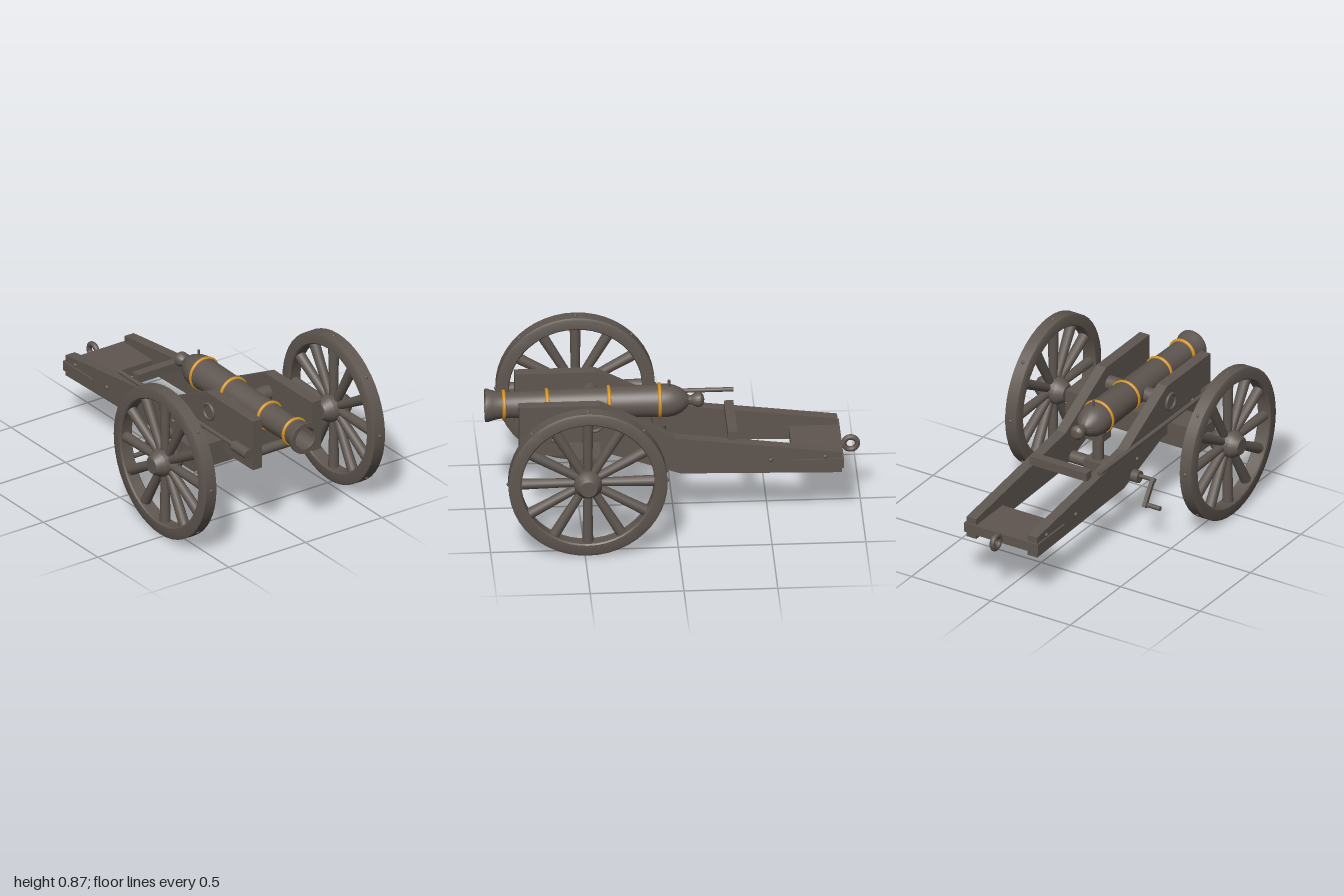
import * as THREE from 'three';
import { toCreasedNormals } from 'three/addons/utils/BufferGeometryUtils.js';

const iron = new THREE.MeshStandardMaterial({ color: 0x5f5650 });
iron.name = 'dark weathered wood and iron';
const brass = new THREE.MeshStandardMaterial({ color: 0xd0901f });
brass.name = 'brass';

function add(parent, name, geometry, x, y, z, material = iron) {
  const mesh = new THREE.Mesh(geometry, material);
  mesh.name = name;
  mesh.position.set(x, y, z);
  parent.add(mesh);
  return mesh;
}

const box = (w, h, d) => new THREE.BoxGeometry(w, h, d);
const rodX = (r, length, sides = 24) => new THREE.CylinderGeometry(r, r, length, sides).rotateZ(Math.PI / 2);
const rodZ = (r, length, sides = 24) => new THREE.CylinderGeometry(r, r, length, sides).rotateX(Math.PI / 2);
const lathe = (points, sides = 40) =>
  toCreasedNormals(new THREE.LatheGeometry(points.map(([r, h]) => new THREE.Vector2(r, h)), sides), 0.6);

// Spoked wheel turning about the x axis
function makeWheel() {
  const wheel = new THREE.Group();
  const rim = lathe([[0.355, -0.033], [0.362, -0.04], [0.412, -0.04], [0.424, -0.034], [0.424, 0.034],
    [0.412, 0.04], [0.362, 0.04], [0.355, 0.033], [0.355, -0.033]], 48).rotateZ(Math.PI / 2);
  add(wheel, 'rim', rim, 0, 0, 0);
  const hub = lathe([[0, -0.09], [0.045, -0.09], [0.053, -0.08], [0.075, -0.045], [0.075, 0.045],
    [0.053, 0.08], [0.045, 0.09], [0, 0.09]], 24).rotateZ(Math.PI / 2);
  add(wheel, 'hub', hub, 0, 0, 0);
  for (let i = 0; i < 12; i++) {
    const spoke = new THREE.CylinderGeometry(0.03, 0.023, 0.32, 12).translate(0, 0.21, 0);
    add(wheel, 'spoke', spoke.rotateX(i * Math.PI / 6), 0, 0, 0);
  }
  for (let i = 0; i < 8; i++) {
    const a = i * Math.PI / 4;
    add(wheel, 'tyreRivet', new THREE.SphereGeometry(0.01, 10, 8), 0, 0.423 * Math.cos(a), 0.423 * Math.sin(a));
  }
  return wheel;
}

// Side cheek running back into the trail, drawn as z against y
function cheekGeometry() {
  const outline = [[0.83, 0.43], [0.83, 0.72], [0.4, 0.72], [0, 0.51], [-0.89, 0.4],
    [-0.89, 0.28], [-0.03, 0.3], [0.35, 0.43]];
  const shape = new THREE.Shape(outline.map(([z, y]) => new THREE.Vector2(z, y)));
  return new THREE.ExtrudeGeometry(shape, { depth: 0.06, bevelEnabled: false })
    .translate(0, 0, -0.03).rotateY(-Math.PI / 2);
}

function makeBarrel() {
  const barrel = new THREE.Group();
  barrel.name = 'barrel';
  const profile = [[0, -0.17], [0.025, -0.165], [0.039, -0.15], [0.041, -0.135], [0.035, -0.115], [0.024, -0.1],
    [0.027, -0.085], [0.045, -0.07], [0.066, -0.045], [0.082, -0.01], [0.09, 0.03], [0.09, 0.075],
    [0.086, 0.1], [0.084, 0.33], [0.08, 0.35], [0.076, 0.66], [0.073, 0.68], [0.07, 0.89],
    [0.074, 0.93], [0.082, 0.965], [0.089, 0.985], [0.089, 1], [0.064, 1], [0.06, 0.985], [0.06, 0.6], [0, 0.6]];
  add(barrel, 'gunTube', lathe(profile).rotateX(Math.PI / 2), 0, 0, 0);
  for (const [z, r] of [[0.07, 0.09], [0.34, 0.084], [0.67, 0.077], [0.9, 0.075]]) {
    add(barrel, 'brassBand', new THREE.TorusGeometry(r - 0.002, 0.01, 12, 40), 0, 0, z, brass);
  }
  add(barrel, 'trunnions', rodX(0.042, 0.45), 0, -0.01, 0.43);
  add(barrel, 'ventPin', new THREE.CylinderGeometry(0.008, 0.008, 0.06, 10), 0, 0.09, 0.02);
  return barrel;
}

export function createModel() {
  const model = new THREE.Group();
  model.name = 'fieldCannon';

  // Wheels, cheeks and their fittings, mirrored left and right
  for (const s of [-1, 1]) {
    const side = s > 0 ? 'left' : 'right';
    const wheel = makeWheel();
    wheel.name = side + 'Wheel';
    wheel.position.set(s * 0.55, 0.437, 0.485);
    model.add(wheel);
    add(model, side + 'AxleArm', rodX(0.024, 0.1), s * 0.45, 0.437, 0.485);
    add(model, side + 'Cheek', cheekGeometry(), s * 0.192, 0, 0);
    const ring = new THREE.TorusGeometry(0.044, 0.009, 10, 28).rotateY(Math.PI / 2);
    add(model, side + 'TrunnionRing', ring, s * 0.226, 0.615, 0.43);
    for (const [z, y] of [[-0.8, 0.378], [-0.51, 0.367], [0.1, 0.42], [0.65, 0.52]]) {
      add(model, 'cheekBolt', new THREE.SphereGeometry(0.012, 10, 8), s * 0.222, y, z);
    }
  }

  // Axle and cross members
  add(model, 'axleBeam', box(0.84, 0.136, 0.16), 0, 0.437, 0.483);
  add(model, 'frontCrossbar', rodX(0.027, 0.34), 0, 0.47, 0.73);
  add(model, 'rearCrossbar', box(0.36, 0.05, 0.05), 0, 0.495, -0.31);
  add(model, 'trailPlate', box(0.464, 0.055, 0.27), 0, 0.337, -0.765);

  // Towing eye at the tail
  add(model, 'towShank', rodZ(0.014, 0.05, 12), 0, 0.337, -0.895);
  add(model, 'towRing', new THREE.TorusGeometry(0.036, 0.015, 12, 28).rotateY(Math.PI / 2), 0, 0.337, -0.949);

  // Barrel
  const barrel = makeBarrel();
  barrel.position.set(0, 0.625, 0);
  model.add(barrel);

  // Elevating gear with hand crank on the right
  add(model, 'elevatingBar', rodX(0.034, 0.46), 0, 0.337, 0.065);
  add(model, 'crankCollar', rodX(0.034, 0.05), -0.238, 0.337, 0.065);
  add(model, 'gearHousing', box(0.12, 0.07, 0.1), 0, 0.34, 0.065);
  add(model, 'elevatingScrew', new THREE.CylinderGeometry(0.03, 0.03, 0.2, 20), 0, 0.43, 0.065);
  add(model, 'breechRest', box(0.105, 0.05, 0.09), 0, 0.525, 0.065);
  add(model, 'screwTip', new THREE.CylinderGeometry(0.02, 0.02, 0.03, 16), 0, 0.3, 0.065);
  add(model, 'crankShaft', rodX(0.011, 0.11, 12), -0.305, 0.345, 0.065);
  const arm = add(model, 'crankArm', box(0.022, 0.165, 0.022), -0.344, 0.285, 0.025);
  arm.rotation.x = Math.atan2(0.08, 0.12);
  add(model, 'crankHandle', rodX(0.013, 0.095, 14), -0.386, 0.225, -0.015 + 0.03 * 0.5);

  // Rammer stowed along the right side
  add(model, 'rammerShaft', rodZ(0.012, 1.08, 14), -0.26, 0.543, 0.2);
  add(model, 'rammerHead', rodZ(0.03, 0.13), -0.26, 0.543, 0.785);

  return model;
}
